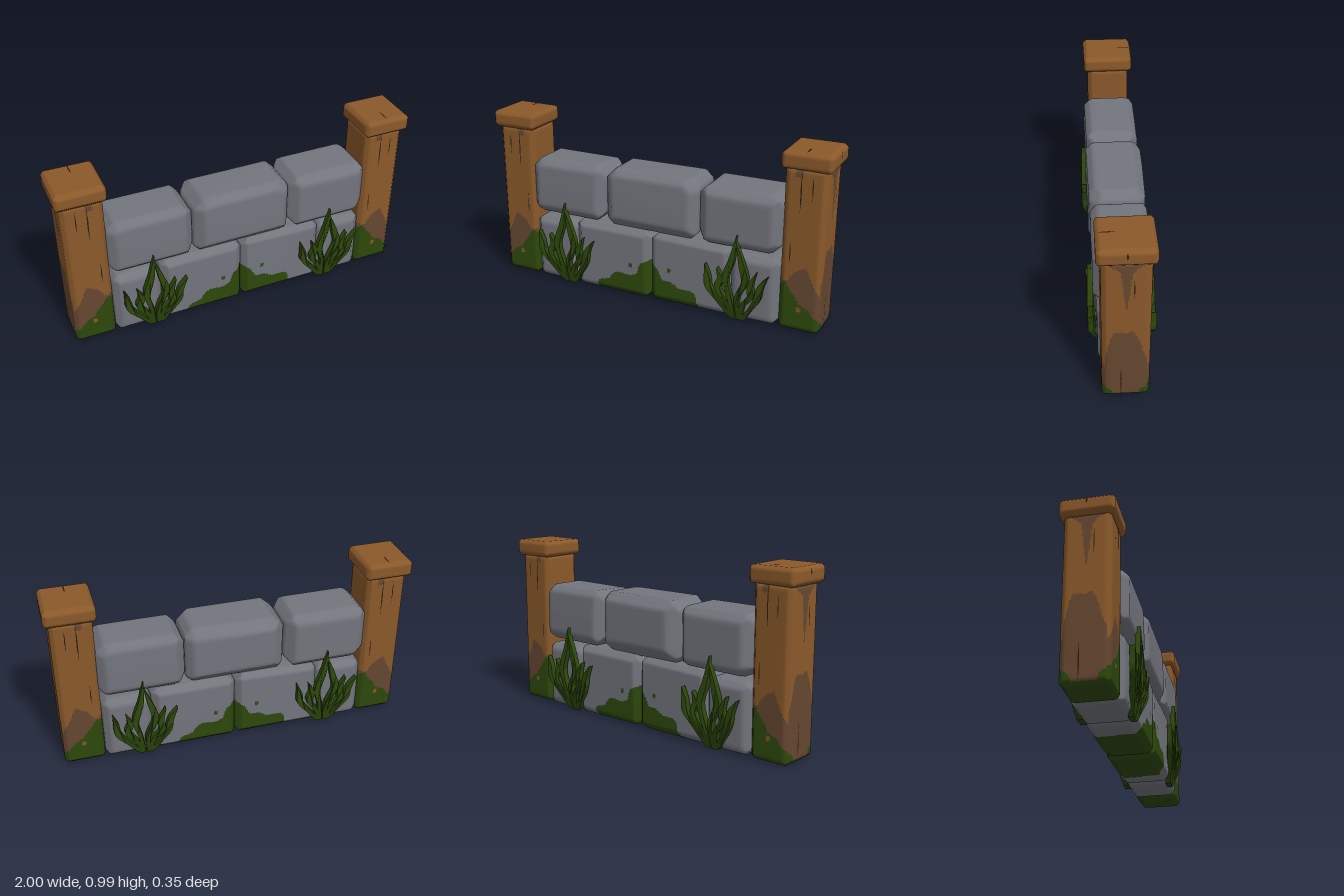
import * as THREE from 'three';
import { mergeVertices } from 'three/addons/utils/BufferGeometryUtils.js';

const mat = (name, color, side = THREE.FrontSide) => {
  const m = new THREE.MeshStandardMaterial({ color, side });
  m.name = name;
  return m;
};

// Linear interpolation through [position, value] pairs
function interp(points, t) {
  if (t <= points[0][0]) return points[0][1];
  for (let i = 1; i < points.length; i++) {
    const [a, u] = points[i - 1], [b, v] = points[i];
    if (t <= b) return u + ((v - u) * (t - a)) / (b - a);
  }
  return points[points.length - 1][1];
}

function seeded(seed) {
  return () => {
    seed = (seed * 16807) % 2147483647;
    return seed / 2147483647;
  };
}

// Box chiselled by planes: bevelled edges and corners, slightly tilted faces
function hewn(size, cell, bevel, tilt, seed) {
  const rnd = seeded(seed * 7919 + 13);
  for (let i = 0; i < 5; i++) rnd();
  const h = size.map((s) => s / 2);
  const planes = [];
  for (let i = -1; i <= 1; i++) for (let j = -1; j <= 1; j++) for (let k = -1; k <= 1; k++) {
    const count = Math.abs(i) + Math.abs(j) + Math.abs(k);
    if (!count) continue;
    const n = new THREE.Vector3(i, j, k);
    const reach = Math.abs(i) * h[0] + Math.abs(j) * h[1] + Math.abs(k) * h[2];
    let d = reach;
    if (count === 1) {
      if (!i) n.x += (rnd() - 0.5) * tilt;
      if (!j) n.y += (rnd() - 0.5) * tilt;
      if (!k) n.z += (rnd() - 0.5) * tilt;
    } else d -= bevel * (count === 2 ? 1 : 1.7) * (1 + (rnd() - 0.5) * Math.min(1, tilt * 8));
    const len = n.length();
    planes.push([n.divideScalar(len), d / len]);
  }
  let g = new THREE.BoxGeometry(...size, ...size.map((s) => Math.max(2, Math.round(s / cell))));
  g.clearGroups();
  const pos = g.attributes.position, p = new THREE.Vector3();
  for (let v = 0; v < pos.count; v++) {
    p.fromBufferAttribute(pos, v);
    for (let pass = 0; pass < 2; pass++)
      for (const [n, d] of planes) p.addScaledVector(n, -Math.max(0, n.dot(p) - d));
    pos.setXYZ(v, p.x, p.y, p.z);
  }
  g.deleteAttribute('uv');
  g.deleteAttribute('normal');
  g = mergeVertices(g, 1e-5);
  g.computeVertexNormals();
  return g;
}

// Sort the faces into material groups by a rule on their centres
function paint(g, kinds, rule) {
  const pos = g.attributes.position, idx = g.index.array;
  const buckets = Array.from({ length: kinds }, () => []);
  const c = [0, 0, 0];
  for (let i = 0; i < idx.length; i += 3) {
    for (let a = 0; a < 3; a++)
      c[a] = (pos.getComponent(idx[i], a) + pos.getComponent(idx[i + 1], a) + pos.getComponent(idx[i + 2], a)) / 3;
    buckets[rule(...c)].push(idx[i], idx[i + 1], idx[i + 2]);
  }
  g.setIndex(buckets.flat());
  let start = 0;
  buckets.forEach((b, k) => { g.addGroup(start, b.length, k); start += b.length; });
  return g;
}

export function createModel() {
  const stone = mat('grey stone', 0x73757d);
  const wood = mat('brown wood', 0x8a592a);
  const darkWood = mat('dark weathered wood', 0x654730);
  const moss = mat('moss green', 0x2d480c);
  const crack = mat('dark crack', 0x2b1d12, THREE.DoubleSide);

  const add = (parent, name, geometry, material, x = 0, y = 0, z = 0) => {
    const m = new THREE.Mesh(geometry, material);
    m.name = name;
    m.position.set(x, y, z);
    parent.add(m);
    return m;
  };
  const model = new THREE.Group();
  model.name = 'stoneFence';
  const half = new THREE.Group();
  half.name = 'fenceHalf';

  // Upper row of stones
  add(model, 'upperMiddleStone', hewn([0.56, 0.345, 0.31], 0.018, 0.055, 0.07, 3), stone, 0, 0.572, 0);
  add(half, 'upperSideStone', hewn([0.475, 0.325, 0.3], 0.018, 0.05, 0.07, 8), stone, 0.52, 0.572, 0);

  // Lower row of stones, moss climbing the middle ones
  add(half, 'lowerSideStone', hewn([0.275, 0.38, 0.264], 0.018, 0.035, 0.04, 5), stone, 0.613, 0.19, 0);
  const frontMoss = [[0, 0.23], [0.03, 0.21], [0.05, 0.2], [0.08, 0.14], [0.14, 0.135], [0.18, 0.11], [0.24, 0.11], [0.28, 0.1], [0.3, 0.0]];
  const backMoss = [[0, 0.24], [0.06, 0.21], [0.08, 0.145], [0.13, 0.125], [0.17, 0.135], [0.22, 0.13], [0.26, 0.08], [0.33, 0.06], [0.34, 0.0]];
  const lower = paint(hewn([0.476, 0.405, 0.274], 0.01, 0.035, 0.04, 11), 2, (lx, ly, z) => {
    const x = lx + 0.239, y = ly + 0.2025;
    const spot = Math.hypot(x - 0.12, y - (z > 0 ? 0.205 : 0.19)) < 0.013;
    const mossy = y < interp(z > 0 ? frontMoss : backMoss, x) || (y < 0.012 && x < 0.33);
    return mossy || (spot && Math.abs(z) > 0.1) ? 1 : 0;
  });
  add(half, 'lowerMiddleStone', lower, [stone, moss], 0.239, 0.2025, 0);

  // Post: 0 wood, 1 weathered, 2 moss; +x is its outer face
  const hx = 0.1125;
  const mossTop = [[-0.11, 0.26], [-0.08, 0.28], [-0.05, 0.23], [-0.02, 0.2], [0.0, 0.16], [0.05, 0.14], [0.08, 0.1], [0.11, 0.08]];
  const frontStain = [[-0.11, 0.29], [-0.07, 0.28], [-0.04, 0.33], [0, 0.36], [0.03, 0.37], [0.06, 0.3], [0.11, 0.21]];
  const sideStain = [[-0.12, 0.25], [-0.09, 0.3], [-0.06, 0.41], [-0.03, 0.47], [0.0, 0.455], [0.06, 0.46], [0.075, 0.42], [0.1, 0.3], [0.12, 0.24]];
  const streak = [[0.6, 0], [0.64, 0.006], [0.76, 0.02], [0.83, 0.025], [0.86, 0.05], [0.88, 0.085]];
  const post = paint(hewn([0.225, 0.905, 0.24], 0.0105, 0.024, 0, 1), 3, (x, ly, z) => {
    const y = ly + 0.4525;
    if (y < 0.004) return 2;
    if (x > hx - 0.008) {
      if (y < interp([[0.055, 0], [0.07, 0.05], [0.09, 0.068], [0.12, 0.07]], Math.abs(z))) return 2;
      return y < interp(sideStain, z) || (y > 0.6 && Math.abs(z) < interp(streak, y)) ? 1 : 0;
    }
    if (y < interp(mossTop, x)) return Math.abs(x) < 0.012 && Math.abs(y - 0.13) < 0.012 ? 0 : 2;
    return y < interp(frontStain, x) || (y > 0.85 && Math.abs(x + 0.035) < 0.02) ? 1 : 0;
  });
  add(half, 'post', post, [wood, darkWood, moss], 0.8625, 0.4525, 0);
  add(half, 'postCap', hewn([0.27, 0.095, 0.282], 0.01, 0.02, 0.03, 4), wood, 0.865, 0.9375, 0);

  // Thin slivers for splits in the wood
  const sliver = (name, length, width, x, y, z, turn, lay = 0) => {
    const s = new THREE.Shape([[0, 0], [width, 0.4], [width * 0.2, 1], [-width * 0.6, 0.6]]
      .map(([u, v]) => new THREE.Vector2(u, v * length)));
    add(half, name, new THREE.ShapeGeometry(s), crack, x, y, z).rotation.set(lay, turn, 0);
  };
  for (const z of [0.1215, -0.1215]) {
    sliver('postCrack', 0.23, 0.005, 0.84, 0.66, z, 0);
    sliver('postCrack', 0.14, 0.004, 0.9, 0.73, z, 0);
    sliver('postCrack', 0.13, 0.004, 0.8, 0.38, z, 0);
  }
  sliver('postCrack', 0.21, 0.005, 0.9765, 0.01, 0.025, Math.PI / 2);
  sliver('postCrack', 0.15, 0.004, 0.9765, 0.66, -0.035, Math.PI / 2);
  sliver('capCrack', 0.04, 0.007, 1.001, 0.935, 0, Math.PI / 2);
  sliver('capCrack', 0.09, 0.006, 0.86, 0.9865, 0.13, 0, -Math.PI / 2);

  // Water-weed clump: wavy tapered blades bulging outward
  const blade = (path) => {
    const curve = new THREE.CatmullRomCurve3(path.map(([x, y]) => new THREE.Vector3(x, y, 0)));
    const left = [], right = [];
    const n = 14;
    for (let i = 0; i <= n; i++) {
      const t = i / n, p = curve.getPoint(t), d = curve.getTangent(t);
      const w = interp([[0, 0.012], [0.3, 0.013], [0.6, 0.019], [0.8, 0.014], [1, 0.001]], t);
      left.push(new THREE.Vector2(p.x - d.y * w, Math.max(0.004, p.y + d.x * w)));
      right.unshift(new THREE.Vector2(p.x + d.y * w, Math.max(0.004, p.y - d.x * w)));
    }
    const g = new THREE.ExtrudeGeometry(new THREE.Shape([...right, ...left]), { depth: 0.03, bevelEnabled: false });
    const pos = g.attributes.position;
    for (let i = 0; i < pos.count; i++)
      pos.setZ(i, pos.getZ(i) + interp([[0, 0.108], [0.16, 0.147], [0.3, 0.147], [0.5, 0.14]], pos.getY(i)));
    g.computeVertexNormals();
    return g;
  };
  const blades = [
    [[-0.02, 0], [-0.1, 0.11], [-0.155, 0.19], [-0.16, 0.24], [-0.175, 0.31]],
    [[-0.01, 0], [-0.05, 0.1], [-0.1, 0.19], [-0.085, 0.24], [-0.105, 0.3]],
    [[-0.015, 0], [-0.03, 0.14], [-0.055, 0.25], [-0.02, 0.37], [0.0, 0.5]],
    [[0.015, 0], [0.01, 0.14], [0.055, 0.25], [0.035, 0.34], [0.0, 0.46]],
    [[0.025, 0], [0.04, 0.1], [0.09, 0.17], [0.085, 0.23], [0.115, 0.31]],
    [[0.03, 0], [0.08, 0.08], [0.125, 0.16], [0.14, 0.23], [0.18, 0.3]],
  ].map(blade);
  for (const turn of [0, Math.PI]) {
    const weed = new THREE.Group();
    weed.name = 'weedClump';
    blades.forEach((g) => add(weed, 'weedBlade', g, moss));
    weed.position.x = 0.525;
    weed.rotation.y = turn;
    half.add(weed);
  }

  // The other half is the same, turned about the middle
  const other = half.clone();
  other.rotation.y = Math.PI;
  model.add(half, other);
  return model;
}
